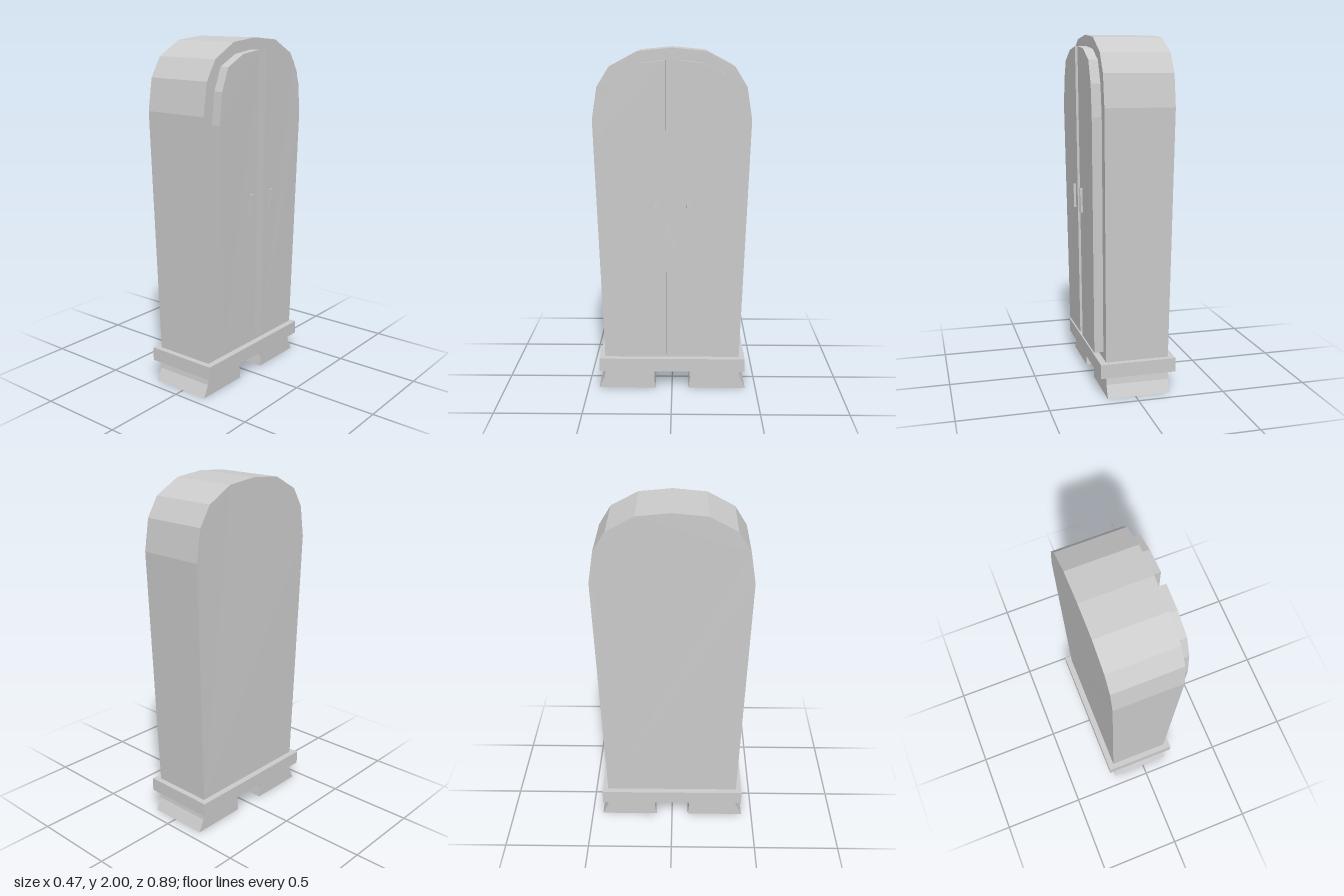
import * as THREE from 'three';

const material = new THREE.MeshStandardMaterial({ color: 0xcccccc, flatShading: true });

// The cabinet deepens slightly from its base up to the shoulders.
const rise = (y) => THREE.MathUtils.clamp((y - 0.2) / 1.4, 0, 1);
const frontX = (y) => 0.16 + 0.018 * rise(y);
const backX = (y) => -0.202 - 0.012 * rise(y);

// Extrudes a [z, y] outline along x between two depth rules.
function panel(name, outline, x0, x1) {
  const shape = new THREE.Shape(outline.map(([z, y]) => new THREE.Vector2(-z, y)));
  const geometry = new THREE.ExtrudeGeometry(shape, { depth: 1, bevelEnabled: false });
  geometry.rotateY(Math.PI / 2);
  const p = geometry.attributes.position;
  for (let i = 0; i < p.count; i++) {
    const y = p.getY(i);
    p.setX(i, p.getX(i) > 0.5 ? x1(y) : x0(y));
  }
  geometry.computeVertexNormals();
  const mesh = new THREE.Mesh(geometry, material);
  mesh.name = name;
  return mesh;
}

function box(name, x0, x1, y0, y1, z0, z1) {
  const mesh = new THREE.Mesh(new THREE.BoxGeometry(x1 - x0, y1 - y0, z1 - z0), material);
  mesh.position.set((x0 + x1) / 2, (y0 + y1) / 2, (z0 + z1) / 2);
  mesh.name = name;
  return mesh;
}

export function createModel() {
  const wardrobe = new THREE.Group();
  wardrobe.name = 'wardrobe';

  // Arched body
  const half = [[0.397, 0.2], [0.443, 1.61], [0.414, 1.79], [0.345, 1.9], [0.19, 1.982]];
  const arch = [...half, [0, 2], ...half.map(([z, y]) => [-z, y]).reverse()];
  wardrobe.add(panel('body', arch, backX, frontX));

  // Plinth
  wardrobe.add(box('plinth', -0.238, 0.197, 0.12, 0.2, -0.43, 0.43));

  const door = [[0.033, 0.24], [0.335, 0.24], [0.373, 1.56], [0.354, 1.735],
    [0.302, 1.86], [0.176, 1.92], [0.033, 1.937]];
  const foot = [[0.1, 0], [0.437, 0], [0.403, 0.07], [0.396, 0.12], [0.102, 0.12], [0.107, 0.07]];

  for (const [side, s] of [['right', 1], ['left', -1]]) {
    const mirror = (points) => points.map(([z, y]) => [s * z, y]);
    // Raised door, handle and flared foot
    wardrobe.add(panel(side + 'Door', mirror(door), (y) => frontX(y) - 0.02, (y) => frontX(y) + 0.052));
    const z = s * 0.09;
    wardrobe.add(box(side + 'Handle', 0.21, 0.235, 1.0, 1.14, z - 0.009, z + 0.009));
    wardrobe.add(panel(side + 'Foot', mirror(foot), () => -0.202, () => 0.16));
  }
  return wardrobe;
}
